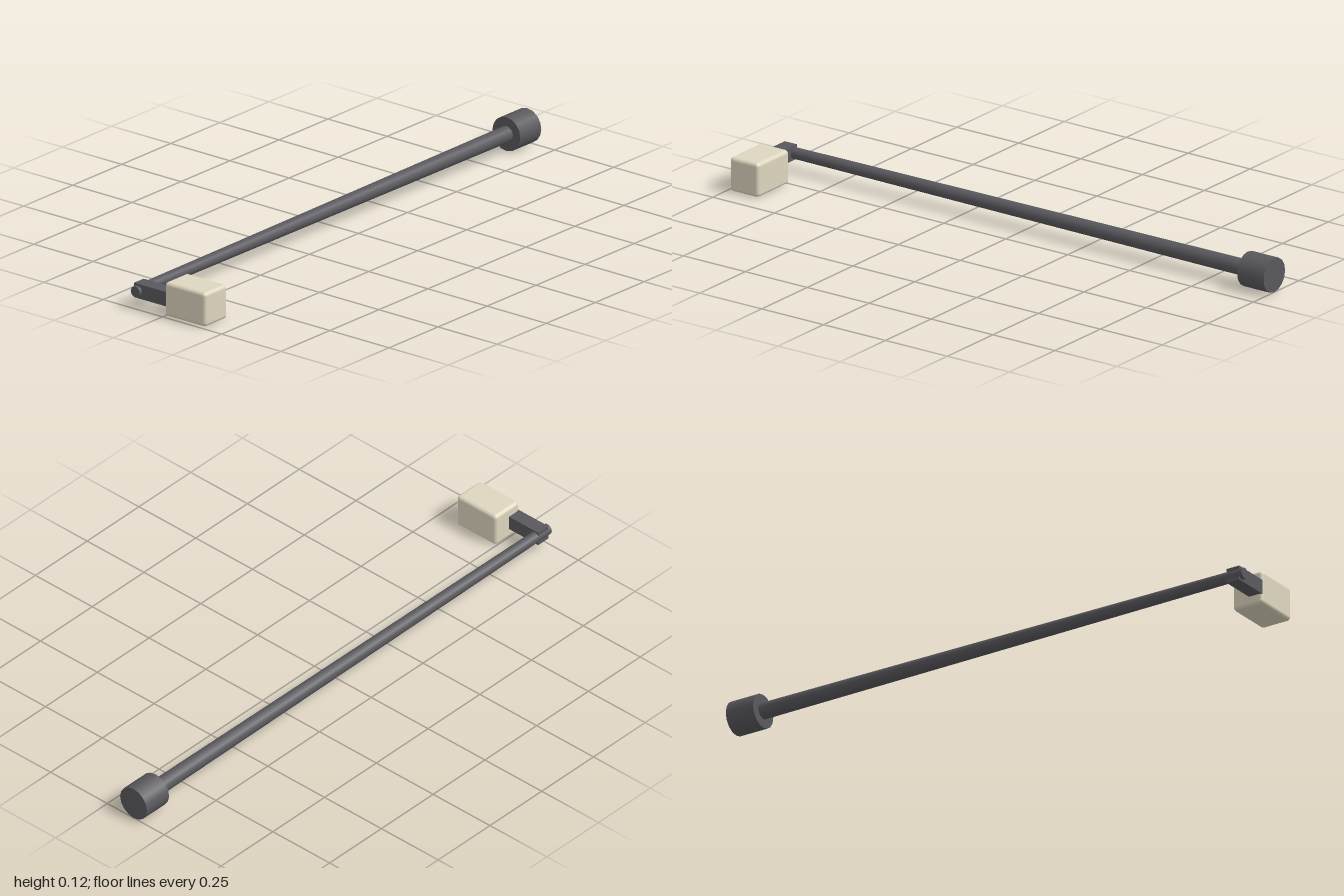
import * as THREE from 'three';
import { RoundedBoxGeometry } from 'three/addons/geometries/RoundedBoxGeometry.js';

const AXIS_X = -0.115, AXIS_Y = 0.062;

export function createModel() {
  const group = new THREE.Group();
  const dark = new THREE.MeshStandardMaterial({ color: 0x59585d });
  const cream = new THREE.MeshStandardMaterial({ color: 0xddd6bf });

  const add = (name, geometry, material, x, y, z) => {
    const mesh = new THREE.Mesh(geometry, material);
    mesh.name = name;
    mesh.position.set(x, y, z);
    group.add(mesh);
  };

  // Cylinder lying along z on the shaft axis
  const addRound = (name, rFront, rBack, zBack, zFront) => {
    const geometry = new THREE.CylinderGeometry(rFront, rBack, zFront - zBack, 16);
    geometry.rotateX(Math.PI / 2);
    add(name, geometry, dark, AXIS_X, AXIS_Y, (zBack + zFront) / 2);
  };

  // Long shaft, tapering towards the front
  addRound('shaft', 0.019, 0.028, -0.92, 1);

  // End cap at the back
  addRound('endCap', 0.059, 0.059, -1, -0.893);

  // Side arm joining shaft and handle block, sunk just below the block's face
  add('arm', new THREE.BoxGeometry(0.18, 0.05, 0.049), dark, -0.04, AXIS_Y, 0.9635);

  // Rounded handle block
  add('handleBlock', new RoundedBoxGeometry(0.173, 0.118, 0.116, 4, 0.013), cream, 0.0855, AXIS_Y, 0.932);

  return group;
}
